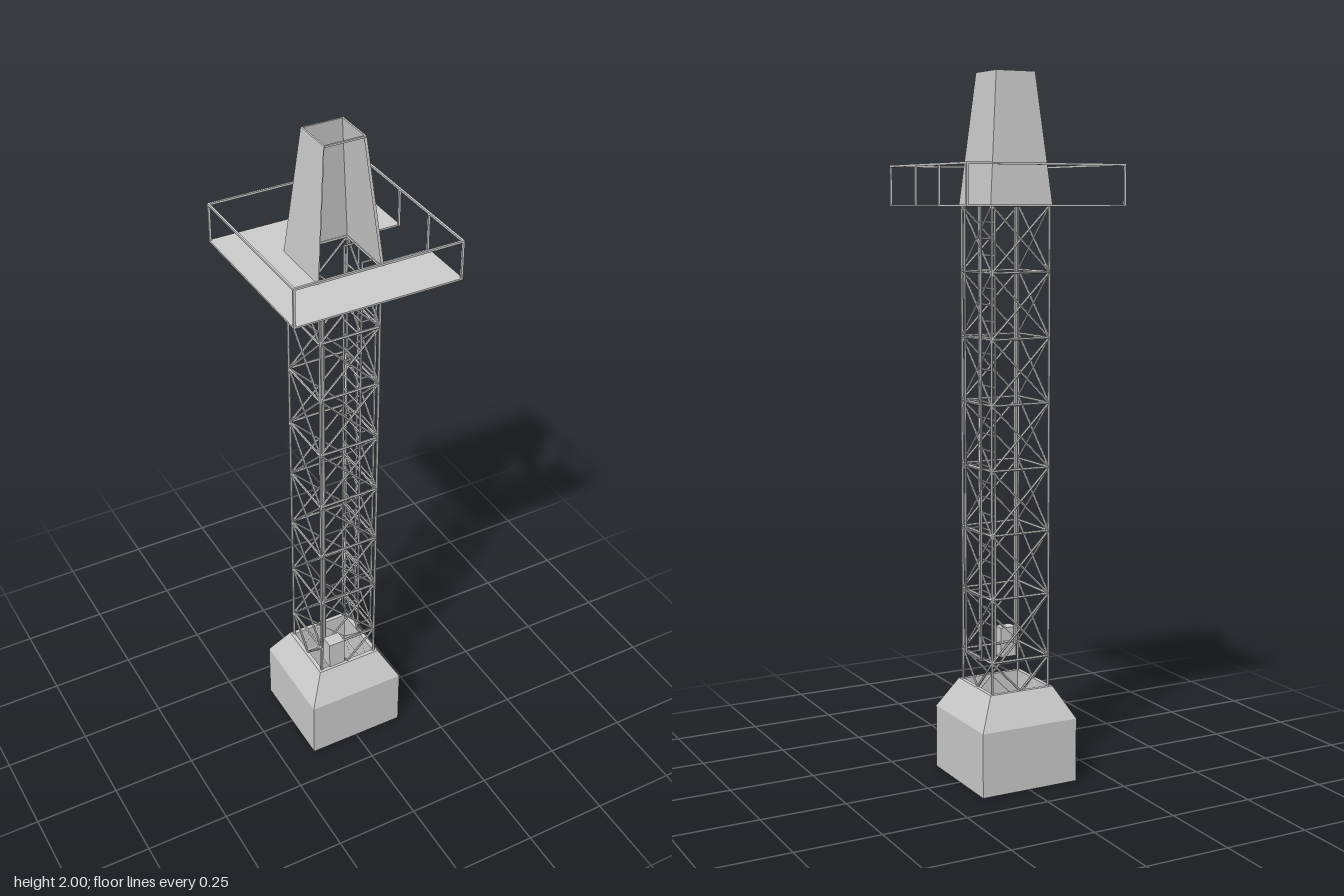
import * as THREE from 'three';
import { mergeGeometries } from 'three/addons/utils/BufferGeometryUtils.js';

const mat = new THREE.MeshStandardMaterial({ color: 0xcccccc, flatShading: true });
const thinMat = new THREE.MeshStandardMaterial({ color: 0xcccccc, flatShading: true, side: THREE.DoubleSide });
const UP = new THREE.Vector3(0, 1, 0);

// straight round bar between two points
function bar(a, b, r, sides = 6) {
  const p = new THREE.Vector3(...a), q = new THREE.Vector3(...b);
  const d = q.clone().sub(p);
  const g = new THREE.CylinderGeometry(r, r, d.length(), sides);
  g.applyQuaternion(new THREE.Quaternion().setFromUnitVectors(UP, d.normalize()));
  return g.translate(...p.add(q).multiplyScalar(0.5).toArray());
}

function box(w, h, d, x, y, z) {
  return new THREE.BoxGeometry(w, h, d).translate(x, y, z);
}

// square ring from a profile of [half width, y]
function squareRing(profile, start, sides) {
  const pts = profile.map(([h, y]) => new THREE.Vector2(h * Math.SQRT2, y));
  return new THREE.LatheGeometry(pts, sides, start, sides * Math.PI / 2);
}

export function createModel() {
  const model = new THREE.Group();
  const add = (name, geos, m = mat) => {
    const mesh = new THREE.Mesh(Array.isArray(geos) ? mergeGeometries(geos) : geos, m);
    mesh.name = name;
    model.add(mesh);
  };
  const H = 0.09, DECK = 1.638, PANELS = 9, STEP = DECK / PANELS;

  // hollow foundation with sloped shoulders
  add('foundation', squareRing([[0.088, 0], [0.15, 0], [0.15, 0.185], [0.1, 0.275], [0.088, 0.275], [0.088, 0]],
    Math.PI / 4, 4), thinMat);

  // lattice tower: legs, horizontals and crossed diagonals on four sides
  const legs = [], horizontals = [], diagonals = [];
  for (let s = 0; s < 4; s++) {
    const turn = (g) => g.rotateY(s * Math.PI / 2);
    legs.push(turn(bar([H, 0, H], [H, DECK, H], 0.004)));
    for (let i = 0; i < PANELS; i++) {
      const y0 = i * STEP, y1 = y0 + STEP;
      horizontals.push(turn(bar([-H, y1, H], [H, y1, H], 0.004)));
      diagonals.push(turn(bar([-H, y0, H], [H, y1, H], 0.0035)));
      diagonals.push(turn(bar([H, y0, H], [-H, y1, H], 0.0035)));
    }
  }
  add('towerLegs', legs);
  add('towerHorizontals', horizontals);
  add('towerDiagonals', diagonals);

  // ladder inside the +x side, with a cage of uprights and hoops around the face
  const ladder = [], cage = [], rungs = [];
  const L0 = 2 * STEP, LX = 0.058, CX = 0.102, LZ = 0.048;
  for (const z of [-LZ, LZ]) {
    ladder.push(bar([LX, L0, z], [LX, DECK, z], 0.0035));
    cage.push(bar([CX, L0, z], [CX, DECK, z], 0.0035));
    for (let i = 2; i <= PANELS; i++) cage.push(bar([LX, i * STEP, z], [CX, i * STEP, z], 0.003));
  }
  for (let i = 2; i <= PANELS; i++) cage.push(bar([CX, i * STEP, -LZ], [CX, i * STEP, LZ], 0.003));
  for (let y = L0 + STEP / 4; y < DECK; y += STEP / 4) rungs.push(bar([LX, y, -LZ], [LX, y, LZ], 0.003));
  add('ladderRails', ladder);
  add('ladderCage', cage);
  add('ladderRungs', rungs);

  // control box and its conduit
  add('controlBox', box(0.05, 0.088, 0.04, -0.06, 0.363, 0.112));
  add('conduit', bar([-0.077, 0.36, 0.08], [-0.077, DECK, 0.08], 0.007, 10));

  // deck plate with central opening and ladder notch
  const P = 0.242, N = 0.074, C = 0.095, I = 0.09;
  const corners = (list) => list.map(([x, y]) => new THREE.Vector2(x, y));
  const deck = new THREE.Shape(corners([[-P, -P], [P, -P], [P, -N], [C, -N], [C, N], [P, N], [P, P], [-P, P]]));
  deck.holes.push(new THREE.Path(corners([[-I, -I], [-I, I], [I, I], [I, -I]])));
  add('deck', new THREE.ExtrudeGeometry(deck, { depth: 0.005, bevelEnabled: false })
    .rotateX(-Math.PI / 2).translate(0, DECK - 0.002, 0));

  // guard rail around the deck
  const T = 0.006, R = P - T / 2, TOP = 1.747, rail = [];
  for (let s = 0; s < 4; s++) {
    rail.push(box(2 * P, T, T, 0, TOP, R).rotateY(s * Math.PI / 2));
    rail.push(box(T, TOP - DECK, T, R, (TOP + DECK) / 2, R).rotateY(s * Math.PI / 2));
  }
  for (const z of [-N, N]) rail.push(box(T, TOP - DECK, T, R, (TOP + DECK) / 2, z));
  add('guardRail', rail);

  // tapered top housing, open at the front and top
  add('topHousing', squareRing([[0.091, DECK], [0.096, DECK], [0.06, 2], [0.055, 2], [0.091, DECK]],
    Math.PI / 4, 3), thinMat);
  add('topHousingBar', box(0.116, 0.005, 0.005, 0, 1.9975, 0.0575));

  return model;
}
